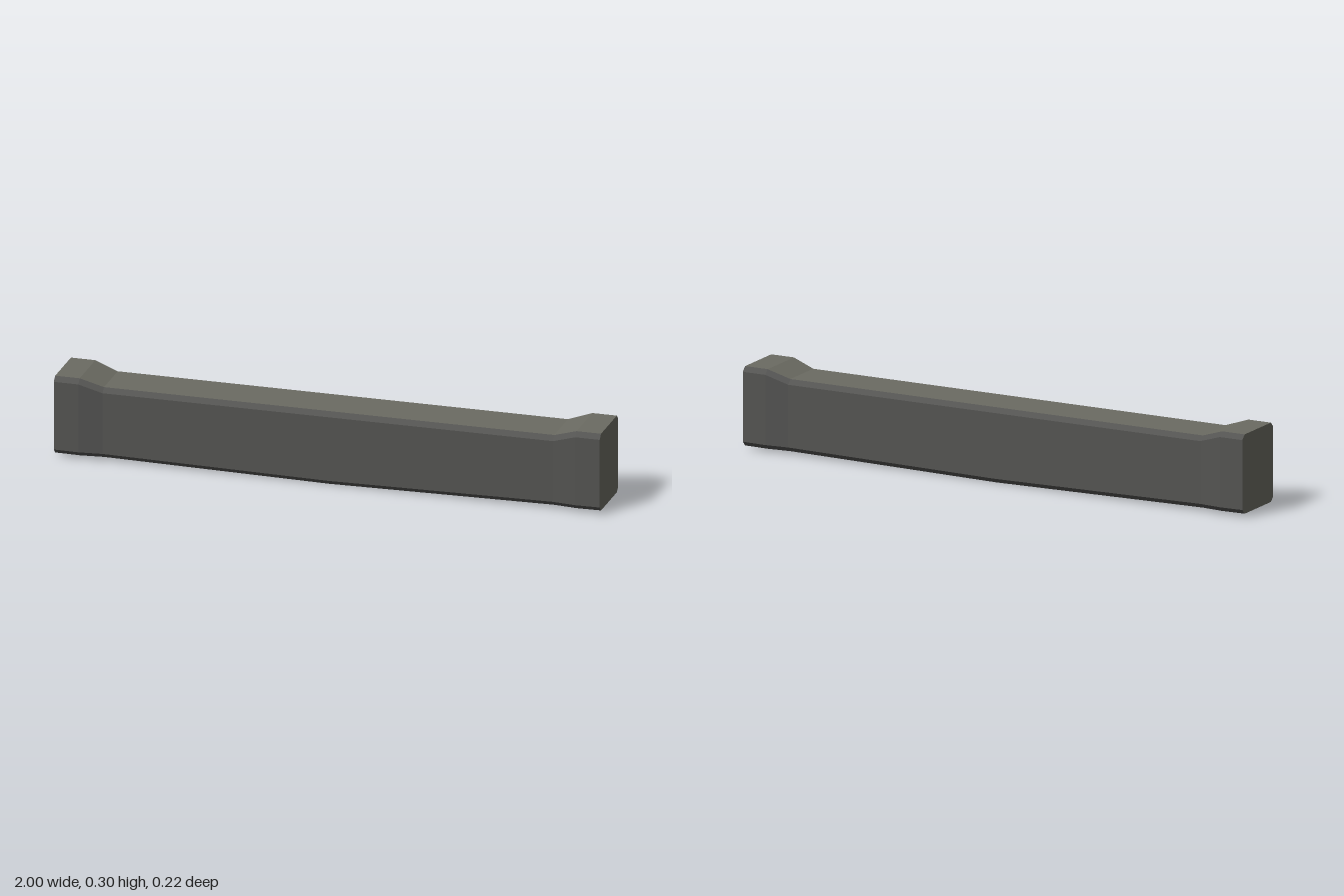
import * as THREE from 'three';

// Stations along the beam: [x, half width, top height, underside height]
const half = [
  [0, 0.1, 0.272, 0],
  [0.825, 0.1, 0.272, 0.011],
  [0.91, 0.112, 0.3, 0.012],
  [1, 0.112, 0.3, 0.013],
];
const stations = [
  ...half.slice(1).reverse().map(([x, ...rest]) => [-x, ...rest]),
  ...half,
];
const CHAMFER = 0.017;

// Chamfered rectangle; edge 1 is the top and edge 5 the underside
function section([x, w, top, bottom]) {
  const c = CHAMFER;
  return [
    [w, top - c], [w - c, top], [c - w, top], [-w, top - c],
    [-w, bottom + c], [c - w, bottom], [w - c, bottom], [w, bottom + c],
  ].map(([z, y]) => new THREE.Vector3(x, y, z));
}

// Skin between neighbouring sections, along the chosen section edges
function skin(rings, edges) {
  const points = [];
  for (let i = 0; i < rings.length - 1; i++) {
    const p = rings[i], q = rings[i + 1];
    for (const j of edges) {
      const k = (j + 1) % p.length;
      points.push(p[j], q[j], q[k], p[j], q[k], p[k]);
    }
  }
  return points;
}

// Flat fan closing one end
function cap(ring) {
  const points = [];
  for (let j = 1; j < ring.length - 1; j++) points.push(ring[0], ring[j], ring[j + 1]);
  return points;
}

function part(name, points, color) {
  const geometry = new THREE.BufferGeometry().setFromPoints(points);
  geometry.computeVertexNormals();
  const mesh = new THREE.Mesh(geometry, new THREE.MeshStandardMaterial({ color, flatShading: true }));
  mesh.name = name;
  return mesh;
}

export function createModel() {
  const group = new THREE.Group();
  group.name = 'beam';
  const rings = stations.map(section);
  const light = 0x6b6b62, dark = 0x545452;
  group.add(
    part('sidesAndChamfers', skin(rings, [0, 2, 3, 4, 6, 7]), dark),
    part('topAndUnderside', skin(rings, [1, 5]), light),
    part('leftEnd', cap([...rings[rings.length - 1]].reverse()), light),
    part('rightEnd', cap(rings[0]), light),
  );
  return group;
}
